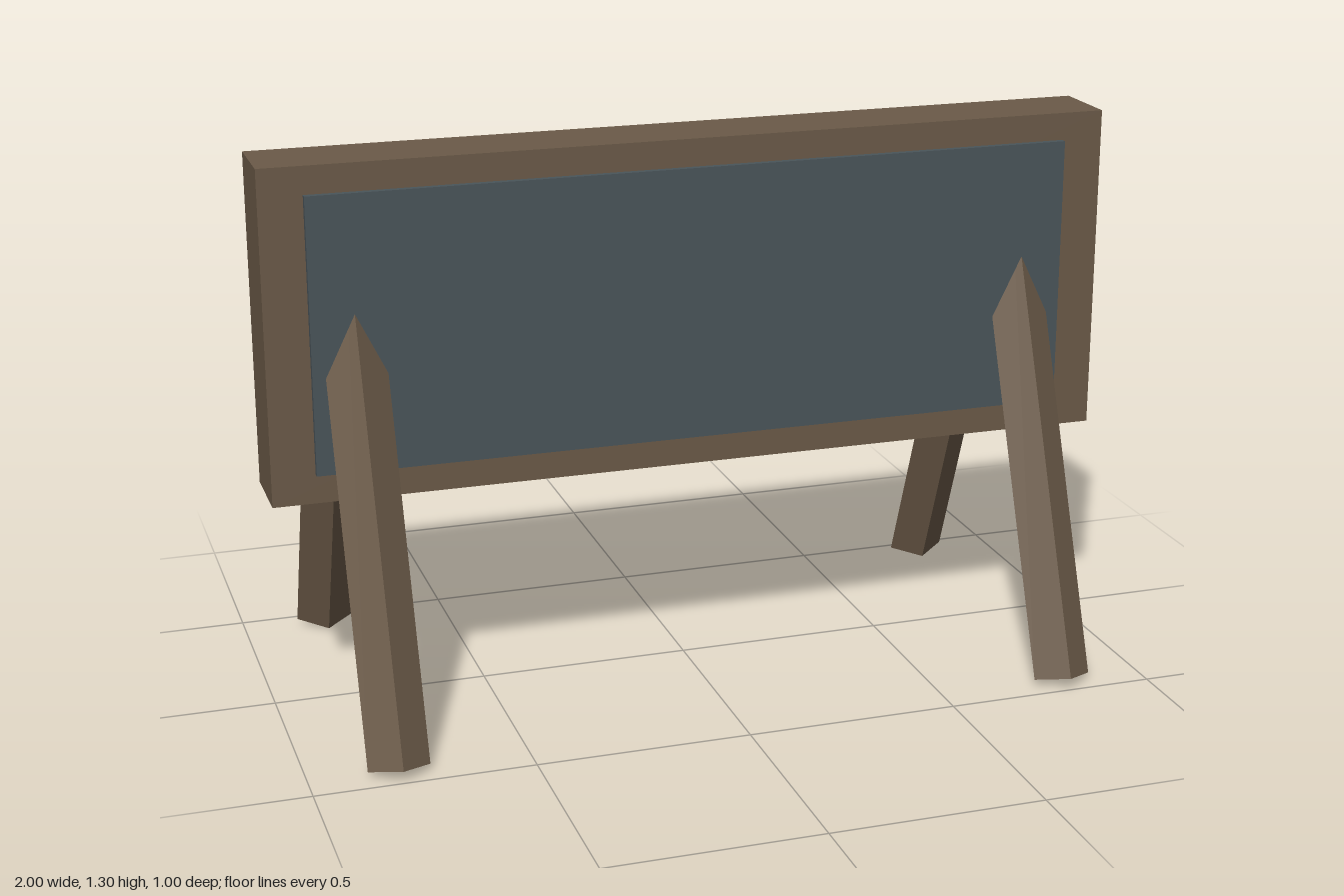
import * as THREE from 'three';

export function createModel() {
  const group = new THREE.Group();
  const wood = new THREE.MeshStandardMaterial({ color: 0x6b5a48, flatShading: true });
  const slate = new THREE.MeshStandardMaterial({ color: 0x4a555a, flatShading: true });

  const add = (name, geometry, material) => {
    const mesh = new THREE.Mesh(geometry, material);
    mesh.name = name;
    group.add(mesh);
    return mesh;
  };

  // Thick wooden board
  add('board', new THREE.BoxGeometry(2, 0.773, 0.18), wood).position.set(0, 0.917, 0.03);

  // Thin writing panel standing proud of the board's front
  add('panel', new THREE.BoxGeometry(1.8, 0.64, 0.035), slate).position.set(0, 0.919, 0.1175);

  // Splayed diamond-section leg: slanted from its foot up into the board,
  // with slightly tilted end cuts
  const legGeometry = new THREE.CylinderGeometry(1, 1, 1, 4).translate(0, 0.5, 0);
  legGeometry.applyMatrix4(new THREE.Matrix4().makeBasis(
    new THREE.Vector3(0.07, 0, 0),
    new THREE.Vector3(0, 1.155, -0.45),
    new THREE.Vector3(0, 0.014, 0.05),
  ).setPosition(0, 0.016, 0.45));

  for (const [side, x] of [['Left', 0.8], ['Right', -0.8]]) {
    add(`front${side}Leg`, legGeometry, wood).position.x = x;
    const back = add(`back${side}Leg`, legGeometry, wood);
    back.position.x = x;
    back.rotation.y = Math.PI;
  }

  return group;
}
